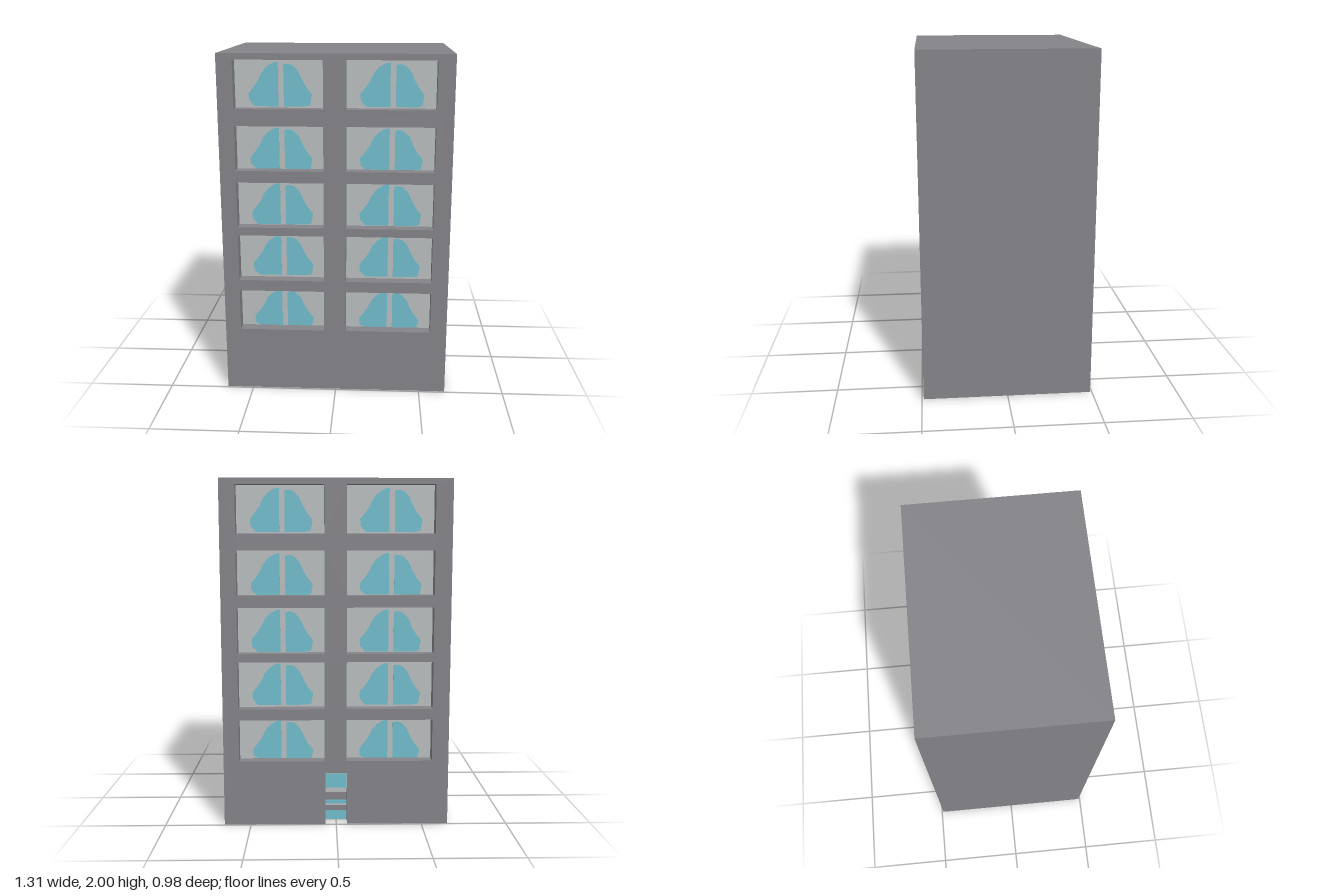
import * as THREE from 'three';

const W = 1.31, H = 2, D = 0.98, RECESS = 0.07;
// window rows as [bottom, top]; columns as [left, right]
const ROWS = [[0.38, 0.625], [0.69, 0.964], [1.012, 1.277], [1.345, 1.6], [1.695, 1.965]];
const COLS = [[-0.565, -0.067], [0.06, 0.558]];
const DOOR = [-0.064, 0.064, 0, 0.31];

const material = (name, color) => {
  const m = new THREE.MeshStandardMaterial({ color, side: THREE.DoubleSide });
  m.name = name;
  return m;
};

// Curtain outlines, measured from the pane's left edge and down from its top
const DRAPES = [
  [[0.243, 0.016], [0.215, 0.021], [0.18, 0.042], [0.152, 0.074], [0.13, 0.12], [0.105, 0.155],
    [0.077, 0.19], [0.08, 0.228], [0.11, 0.262], [0.243, 0.262]],
  [[0.274, 0.03], [0.3, 0.026], [0.325, 0.034], [0.355, 0.065], [0.38, 0.12], [0.4, 0.155],
    [0.432, 0.195], [0.42, 0.255], [0.385, 0.262], [0.274, 0.262]],
];

export function createModel() {
  const wall = material('wall grey', 0x838388);
  const glass = material('pale pane', 0xb8bcbd);
  const blue = material('curtain blue', 0x70bbcb);
  const building = new THREE.Group();
  building.name = 'building';

  const add = (parent, name, geo, mat, x = 0, y = 0, z = 0) => {
    const mesh = new THREE.Mesh(geo, mat);
    mesh.name = name;
    mesh.position.set(x, y, z);
    parent.add(mesh);
    return mesh;
  };

  // Box keeping only its first faces, in the order +x, -x, top, bottom
  const openBox = (w, h, d, faces) => {
    const geo = new THREE.BoxGeometry(w, h, d);
    geo.setIndex(Array.from(geo.index.array).slice(0, faces * 6));
    geo.clearGroups();
    return geo;
  };

  const rectangle = (Type, [l, r, b, t]) => new Type(
    [[l, b], [r, b], [r, t], [l, t]].map(p => new THREE.Vector2(...p)));

  // Recess sides with a pane at the inner end
  const recess = (parent, name, [l, r, b, t], faces) => {
    const x = (l + r) / 2, y = (b + t) / 2;
    add(parent, name + 'Reveal', openBox(r - l, t - b, RECESS, faces), wall, x, y, D / 2 - RECESS / 2);
    add(parent, name + 'Pane', new THREE.PlaneGeometry(r - l, t - b), glass, x, y, D / 2 - RECESS);
  };

  const facade = (name, hasDoor) => {
    const side = new THREE.Group();
    side.name = name;
    building.add(side);

    // Wall sheet, notched at the foot where there is a door
    const [dl, dr, , dt] = DOOR;
    const notch = hasDoor ? [[dl, 0], [dl, dt], [dr, dt], [dr, 0]] : [];
    const outline = new THREE.Shape([[-W / 2, 0], ...notch, [W / 2, 0], [W / 2, H], [-W / 2, H]]
      .map(p => new THREE.Vector2(...p)));

    for (const [l, r] of COLS) for (const [b, t] of ROWS) {
      outline.holes.push(rectangle(THREE.Path, [l, r, b, t]));
      recess(side, 'window', [l, r, b, t], 4);
      // Curtains, cut off at the pane's lower edge and visible from both sides
      for (const drape of DRAPES) {
        const shape = new THREE.Shape(drape.map(
          ([x, y]) => new THREE.Vector2(x, -Math.min(y, t - b - 0.001))));
        const geo = new THREE.ExtrudeGeometry(shape, { depth: 0.006, bevelEnabled: false });
        add(side, 'curtain', geo, blue, l, t, D / 2 - RECESS - 0.003);
      }
    }
    add(side, 'wall', new THREE.ShapeGeometry(outline), wall, 0, 0, D / 2);

    if (hasDoor) {
      recess(side, 'door', DOOR, 3);
      // Coloured bands across the door
      for (const [b, t, mat] of [[0.005, 0.06, blue], [0.06, 0.09, wall], [0.1, 0.125, blue],
        [0.125, 0.17, wall], [0.2, 0.285, blue]]) {
        add(side, 'doorBand', new THREE.BoxGeometry(dr - dl - 0.004, t - b, 0.006), mat,
          0, (b + t) / 2, D / 2 - RECESS);
      }
    }
    return side;
  };

  // Side walls and roof; the underside is open
  add(building, 'sidesAndRoof', openBox(W, H, D, 3), wall, 0, H / 2, 0);
  facade('frontFacade', false);
  facade('backFacade', true).rotation.y = Math.PI;
  return building;
}
